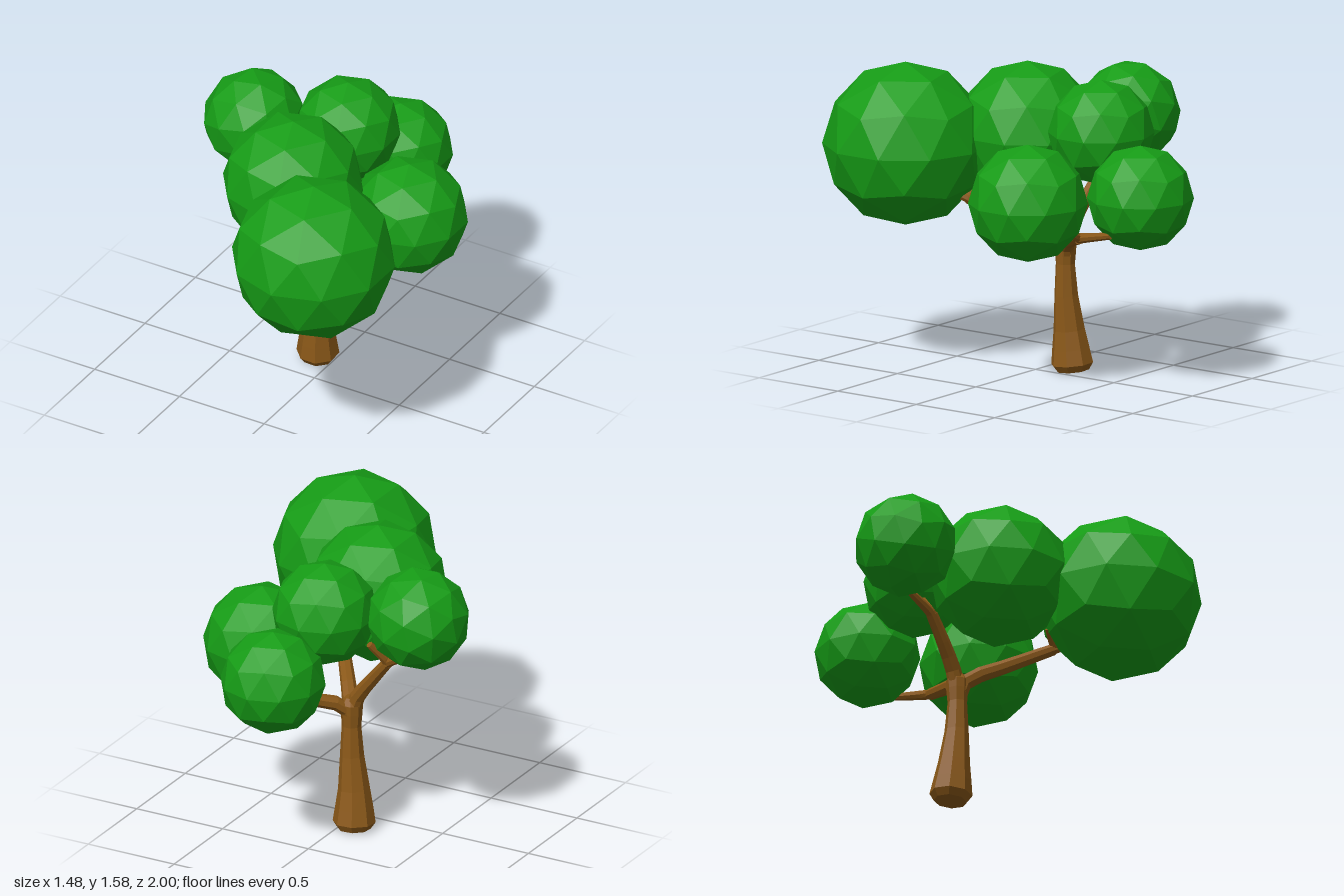
import * as THREE from 'three';

const bark = new THREE.MeshStandardMaterial({ color: 0x8a5818, flatShading: true });
const leaf = new THREE.MeshStandardMaterial({ color: 0x169c16, flatShading: true });
const SIDES = 8;
const UP = new THREE.Vector3(0, 1, 0);

// Limb swept along a smooth curve; rings are [position along curve 0..1, radius]
function limb(name, points, rings) {
  const curve = new THREE.CatmullRomCurve3(points.map(p => new THREE.Vector3(...p)));
  const pos = [], index = [];
  const turn = new THREE.Quaternion();
  rings.forEach(([t, r], i) => {
    const centre = curve.getPointAt(t);
    turn.setFromUnitVectors(UP, curve.getTangentAt(t));
    for (let k = 0; k < SIDES; k++) {
      const a = (k + 0.5) / SIDES * Math.PI * 2;
      const v = new THREE.Vector3(Math.sin(a) * r, 0, Math.cos(a) * r).applyQuaternion(turn).add(centre);
      pos.push(v.x, v.y, v.z);
      if (i === 0) continue;
      const b = i * SIDES + k, c = i * SIDES + (k + 1) % SIDES;
      index.push(b - SIDES, c - SIDES, c, b - SIDES, c, b);
    }
  });
  const geo = new THREE.BufferGeometry();
  geo.setAttribute('position', new THREE.Float32BufferAttribute(pos, 3));
  geo.setIndex(index);
  geo.computeVertexNormals();
  const mesh = new THREE.Mesh(geo, bark);
  mesh.name = name;
  return mesh;
}

// Rings of a branch tapering from r0 to r1, closed at its tip
function taper(r0, r1) {
  const rings = [];
  for (let i = 0; i <= 6; i++) rings.push([i / 6, r0 + (r1 - r0) * i / 6]);
  rings.push([1, 0]);
  return rings;
}

// Faceted leaf ball with a corner pointing straight up
function leafBall(name, [x, y, z], radius, tilt = [0, 0, 0]) {
  const geo = new THREE.IcosahedronGeometry(radius, 1);
  geo.rotateZ(-Math.atan2(2, 1 + Math.sqrt(5)));
  const mesh = new THREE.Mesh(geo, leaf);
  mesh.position.set(x, y, z);
  mesh.rotation.set(...tilt);
  mesh.name = name;
  return mesh;
}

export function createModel() {
  const tree = new THREE.Group();
  tree.name = 'tree';

  // Trunk with a flared, bevelled foot and a slight swelling at the fork
  tree.add(limb('trunk',
    [[-0.083, 0.005, -0.175], [-0.075, 0.2, -0.16], [-0.055, 0.45, -0.151], [-0.055, 0.72, -0.15]],
    [[0, 0], [0, 0.085], [0.05, 0.11], [0.16, 0.098], [0.3, 0.082], [0.55, 0.062],
      [0.78, 0.05], [0.88, 0.056], [0.95, 0.058], [1, 0.035], [1, 0]]));

  // Three main branches, each splitting into two twigs
  const branches = [
    { name: 'frontBranch', r: 0.045, path: [[-0.055, 0.58, -0.15], [-0.03, 0.68, -0.12], [0.1, 0.79, 0.06], [0.24, 0.9, 0.25]],
      tips: [[0.31, 0.95, 0.36], [0.16, 0.98, 0.26]] },
    { name: 'backBranch', r: 0.042, path: [[-0.055, 0.58, -0.15], [-0.025, 0.67, -0.18], [0.09, 0.73, -0.3], [0.2, 0.775, -0.43]],
      tips: [[0.33, 0.83, -0.45], [0.25, 0.83, -0.67]] },
    { name: 'sideBranch', r: 0.045, path: [[-0.055, 0.58, -0.15], [-0.075, 0.7, -0.152], [-0.19, 0.86, -0.165], [-0.28, 0.97, -0.18]],
      tips: [[-0.43, 1.06, -0.24], [-0.22, 1.09, -0.26]] },
  ];
  for (const { name, r, path, tips } of branches) {
    tree.add(limb(name, path, taper(r, 0.03)));
    const [before, fork] = path.slice(-2);
    const start = fork.map((v, i) => v + (before[i] - v) * 0.15);
    tips.forEach((tip, i) => tree.add(limb(`${name}Twig${i + 1}`, [start, fork, tip], taper(0.028, 0.018))));
  }

  // Crown of six leaf balls
  tree.add(
    leafBall('frontLeaves', [0.335, 1.157, 0.573], 0.424),
    leafBall('middleLeaves', [-0.067, 1.215, 0.1], 0.364),
    leafBall('leftLeaves', [-0.487, 1.28, -0.225], 0.265, [0.25, 0.2, 0.3]),
    leafBall('rightLeaves', [0.405, 0.972, -0.26], 0.305),
    leafBall('backLeaves', [0.077, 1.005, -0.727], 0.272),
    leafBall('topLeaves', [-0.035, 1.28, -0.392], 0.272));
  return tree;
}
